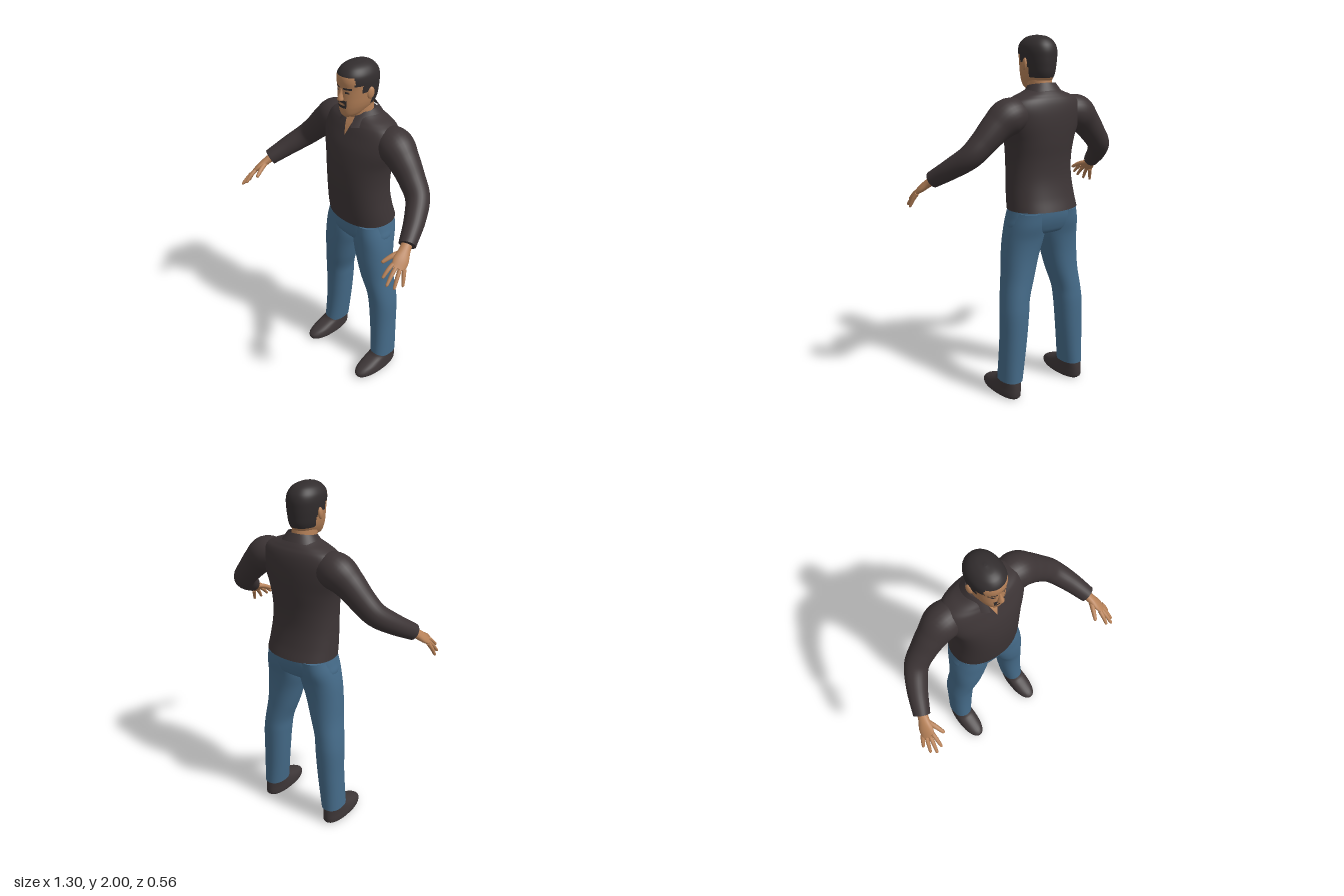
import * as THREE from 'three';

const mat = (name, color, side = THREE.FrontSide) => {
  const m = new THREE.MeshStandardMaterial({ color, side });
  m.name = name;
  return m;
};

// Closed surface of rows x cols from fn(u, angle); pick() chooses the material of each face
function skin(fn, rows, cols, pick = () => 0) {
  const pos = [], lists = [[], []];
  for (let i = 0; i <= rows; i++)
    for (let j = 0; j < cols; j++) pos.push(...fn(i / rows, (j / cols) * Math.PI * 2).toArray());
  const at = (k) => new THREE.Vector3().fromArray(pos, k * 3);
  for (let i = 0; i < rows; i++)
    for (let j = 0; j < cols; j++) {
      const k = (j + 1) % cols;
      const a = i * cols + j, b = i * cols + k, c = a + cols, d = b + cols;
      lists[pick(at(a).add(at(d)).multiplyScalar(0.5))].push(a, c, b, b, c, d);
    }
  // end caps
  for (const row of [0, rows]) {
    const mid = new THREE.Vector3();
    const base = pos.length / 3;
    for (let j = 0; j < cols; j++) mid.add(at(row * cols + j));
    mid.divideScalar(cols);
    for (let j = 0; j < cols; j++) pos.push(...at(row * cols + j).toArray());
    pos.push(...mid.toArray());
    for (let j = 0; j < cols; j++) {
      const p = base + j, q = base + ((j + 1) % cols);
      lists[pick(mid)].push(base + cols, row ? q : p, row ? p : q);
    }
  }
  const g = new THREE.BufferGeometry();
  g.setAttribute('position', new THREE.Float32BufferAttribute(pos, 3));
  g.setIndex([...lists[0], ...lists[1]]);
  g.addGroup(0, lists[0].length, 0);
  if (lists[1].length) g.addGroup(lists[0].length, lists[1].length, 1);
  g.computeVertexNormals();
  return g;
}

// Horizontal cross-sections [y, centre x, half width, front z, back z], splined
function body(rings, power = 2) {
  const A = new THREE.CatmullRomCurve3(rings.map((r) => new THREE.Vector3(r[0], r[1], r[2])));
  const B = new THREE.CatmullRomCurve3(rings.map((r) => new THREE.Vector3(r[3], r[4], r[0])));
  const round = (v) => Math.sign(v) * Math.abs(v) ** (2 / power);
  const fn = (u, a) => {
    const p = A.getPoint(u), q = B.getPoint(u);
    return new THREE.Vector3(p.y + p.z * round(Math.cos(a)), p.x,
      (q.x + q.y) / 2 + ((q.x - q.y) / 2) * round(Math.sin(a)));
  };
  // front surface depth at (x, y)
  fn.front = (x, y) => {
    let lo = 0, hi = 1;
    for (let i = 0; i < 30; i++) {
      const m = (lo + hi) / 2;
      if (A.getPoint(m).x < y) lo = m; else hi = m;
    }
    const p = A.getPoint(lo), q = B.getPoint(lo);
    const k = Math.max(0, 1 - Math.abs((x - p.y) / p.z) ** power) ** (1 / power);
    return (q.x + q.y) / 2 + ((q.x - q.y) / 2) * k;
  };
  return fn;
}

// Limb along a path; radii are [across, thick], ref sets the "across" direction
function limb(points, radii, ref = [0, 0, 1]) {
  const path = new THREE.CatmullRomCurve3(points.map((p) => new THREE.Vector3(...p)));
  const rad = new THREE.CatmullRomCurve3(radii.map((r, i) => new THREE.Vector3(r[0], r[1], i * 0.05)));
  return (u, a) => {
    const T = path.getTangent(u), r = rad.getPoint(u);
    const N = new THREE.Vector3(...ref);
    N.addScaledVector(T, -N.dot(T)).normalize();
    const B = N.clone().cross(T);
    return path.getPoint(u).addScaledVector(N, r.x * Math.cos(a)).addScaledVector(B, r.y * Math.sin(a));
  };
}

export function createModel() {
  const group = new THREE.Group();
  const shirt = mat('shirt charcoal', 0x3c3435, THREE.DoubleSide);
  const denim = mat('denim blue', 0x456b89);
  const flesh = mat('skin tan', 0xb78259);
  const hair = mat('hair dark', 0x322d2e);
  const leather = mat('shoe dark', 0x3d3637);
  const add = (name, geometry, material) => {
    const m = new THREE.Mesh(geometry, material);
    m.name = name;
    group.add(m);
    return m;
  };

  // Shirt body
  const torso = body([
    [1.08, 0, 0.205, 0.035, -0.278], [1.15, 0, 0.2, 0.045, -0.255], [1.25, 0, 0.192, 0.055, -0.236],
    [1.35, 0, 0.191, 0.06, -0.235], [1.45, 0, 0.204, 0.055, -0.245], [1.55, 0, 0.235, 0.035, -0.25],
    [1.62, 0, 0.24, 0.008, -0.246], [1.665, 0, 0.215, -0.012, -0.235], [1.69, 0, 0.17, -0.027, -0.22],
    [1.71, 0, 0.115, -0.038, -0.205], [1.73, 0, 0.075, -0.05, -0.185]], 2.2);
  add('shirtBody', skin(torso, 60, 48), shirt);

  // Open neckline, a thin plate lying on the chest
  const neckline = new THREE.PlaneGeometry(1, 1, 6, 10);
  const np = neckline.attributes.position;
  for (let i = 0; i < np.count; i++) {
    const v = np.getY(i) + 0.5, y = 1.61 + 0.115 * v, x = np.getX(i) * 0.075 * v;
    np.setXYZ(i, x, y, torso.front(x, y) + 0.004);
  }
  neckline.computeVertexNormals();
  add('neckOpening', neckline, flesh);

  // Folded collar, open at the front
  const collar = new THREE.PlaneGeometry(1, 1, 40, 4);
  const cp = collar.attributes.position;
  for (let i = 0; i < cp.count; i++) {
    const a = cp.getX(i) * 2 * (Math.PI - 0.32), d = 0.5 - cp.getY(i), f = (1 - Math.cos(a)) / 2;
    cp.setXYZ(i, (0.078 + 0.035 * d) * Math.sin(a), 1.757 - 0.022 * f - d * (0.04 + 0.03 * f),
      -0.115 - (0.07 + (0.025 + 0.035 * f) * d) * Math.cos(a));
  }
  collar.computeVertexNormals();
  add('collar', collar, shirt);

  // Neck and head; hair, brows and beard are faces of the head
  add('neck', skin(body([[1.63, 0, 0.065, -0.045, -0.18], [1.7, 0, 0.062, -0.03, -0.175],
    [1.76, 0, 0.062, -0.015, -0.17], [1.82, 0, 0.06, -0.01, -0.16]]), 12, 32), flesh);
  const isHair = (p) => {
    const x = Math.abs(p.x), { y, z } = p;
    const line = z > 0.005 ? 1.948 : z > -0.035 ? 1.9 : z > -0.07 ? 1.86 : z > -0.1 ? 1.845 : 1.782;
    if (y > line) return 1;
    if (z < 0) return 0;
    const brow = x > 0.016 && x < 0.056 && y > 1.878 && y < 1.89;
    const eye = x > 0.024 && x < 0.043 && y > 1.862 && y < 1.869;
    const moustache = x < 0.033 && y > 1.804 && y < 1.82;
    const beard = x < 0.03 && y > 1.778 && y < 1.805 && (x > 0.019 || y < 1.793);
    return brow || eye || moustache || beard ? 1 : 0;
  };
  const head = body([
    [1.718, 0, 0.02, 0.012, -0.05], [1.735, 0, 0.045, 0.027, -0.11], [1.77, 0, 0.066, 0.036, -0.172],
    [1.8, 0, 0.076, 0.037, -0.188], [1.84, 0, 0.083, 0.036, -0.194], [1.88, 0, 0.088, 0.036, -0.197],
    [1.92, 0, 0.09, 0.041, -0.197], [1.95, 0, 0.084, 0.036, -0.188], [1.978, 0, 0.064, 0.013, -0.164],
    [1.994, 0, 0.036, -0.02, -0.13], [2, 0, 0.006, -0.065, -0.08]], 2.15);
  add('head', skin(head, 80, 96, isHair), [flesh, hair]);
  add('nose', skin(body([[1.818, 0, 0.008, 0.045, 0.02], [1.823, 0, 0.017, 0.058, 0.02],
    [1.84, 0, 0.013, 0.056, 0.02], [1.86, 0, 0.009, 0.046, 0.02], [1.882, 0, 0.007, 0.038, 0.02]]), 16, 16), flesh);

  // Pelvis
  add('jeansHips', skin(body([[0.935, 0, 0.1, -0.05, -0.16], [0.955, 0, 0.19, -0.005, -0.215],
    [0.99, 0, 0.218, 0.012, -0.235], [1.04, 0, 0.209, 0.017, -0.25], [1.1, 0, 0.195, 0.017, -0.255]], 2.2), 20, 40), denim);

  for (const s of [1, -1]) {
    const side = s > 0 ? 'left' : 'right';
    const mir = (p) => [p[0] * s, p[1], p[2]];

    const ear = add(side + 'Ear', new THREE.SphereGeometry(1, 16, 12), flesh);
    ear.scale.set(0.011, 0.032, 0.02);
    ear.position.set(s * 0.089, 1.852, -0.082);
    ear.rotation.set(-0.15, s * -0.3, 0);

    // Trouser leg: y, inner x, outer x, front z, back z
    const leg = [[0.1, 0.158, 0.281, -0.03, -0.198], [0.2, 0.145, 0.278, -0.037, -0.2],
      [0.35, 0.128, 0.273, -0.041, -0.205], [0.5, 0.114, 0.27, -0.036, -0.208], [0.58, 0.105, 0.262, -0.027, -0.204],
      [0.7, 0.066, 0.246, -0.008, -0.198], [0.82, 0.032, 0.239, 0.003, -0.2], [0.92, 0.004, 0.231, 0.006, -0.213],
      [1, 0.005, 0.216, 0.008, -0.235], [1.07, 0.01, 0.196, 0.005, -0.245]];
    add(side + 'TrouserLeg', skin(body(leg.map(([y, a, b, f, k]) => [y, s * (a + b) / 2, (b - a) / 2, f, k]), 2.25), 50, 32), denim);

    // Shoe
    add(side + 'Shoe', skin(body([[0, 0.222, 0.052, 0.095, -0.185], [0.012, 0.224, 0.062, 0.114, -0.197],
      [0.035, 0.224, 0.064, 0.116, -0.199], [0.056, 0.223, 0.062, 0.092, -0.198], [0.078, 0.222, 0.059, 0.04, -0.196],
      [0.1, 0.221, 0.056, -0.015, -0.193], [0.125, 0.22, 0.053, -0.04, -0.19]]
      .map(([y, x, ...r]) => [y, s * x, ...r]), 2.2), 24, 32), leather);

    // Sleeve
    add(side + 'Sleeve', skin(limb(
      [[0.15, 1.595, -0.13], [0.23, 1.585, -0.13], [0.3, 1.535, -0.122], [0.37, 1.465, -0.112],
        [0.437, 1.396, -0.09], [0.5, 1.33, -0.01], [0.558, 1.26, 0.1]].map(mir),
      [0.085, 0.098, 0.083, 0.071, 0.064, 0.056, 0.045].map((r) => [r, r])), 40, 28), shirt);

    // Palm
    const across = new THREE.Vector3(s * 0.08, -0.05, -0.06).normalize();
    const end = new THREE.Vector3(s * 0.592, 1.192, 0.19);
    add(side + 'Palm', skin(limb([[0.548, 1.268, 0.085], [0.565, 1.24, 0.125], [0.582, 1.212, 0.165], [0.596, 1.186, 0.2]].map(mir),
      [[0.028, 0.024], [0.031, 0.022], [0.041, 0.018], [0.036, 0.01]], across.toArray()), 16, 20), flesh);

    // Fingers from index to little, then the thumb
    const tips = [[0.568, 1.15, 0.278], [0.604, 1.125, 0.285], [0.63, 1.105, 0.257], [0.643, 1.102, 0.208]];
    const fingers = tips.map((t, i) => [end.clone().addScaledVector(across, (i - 1.5) * 0.021).toArray(), mir(t), 0.0105]);
    fingers.push([mir([0.556, 1.235, 0.14]), mir([0.516, 1.195, 0.235]), 0.013]);
    fingers.forEach(([a, b, r], i) => {
      const mid = a.map((v, k) => (v + b[k]) / 2 + (k === 1 ? 0.006 : 0));
      const near = b.map((v, k) => v + (mid[k] - v) * 0.12);
      add(side + (i < 4 ? 'Finger' + (i + 1) : 'Thumb'),
        skin(limb([a, mid, near, b], [r * 1.1, r, r * 0.7, r * 0.2].map((v) => [v, v]), across.toArray()), 15, 12), flesh);
    });
  }
  return group;
}
